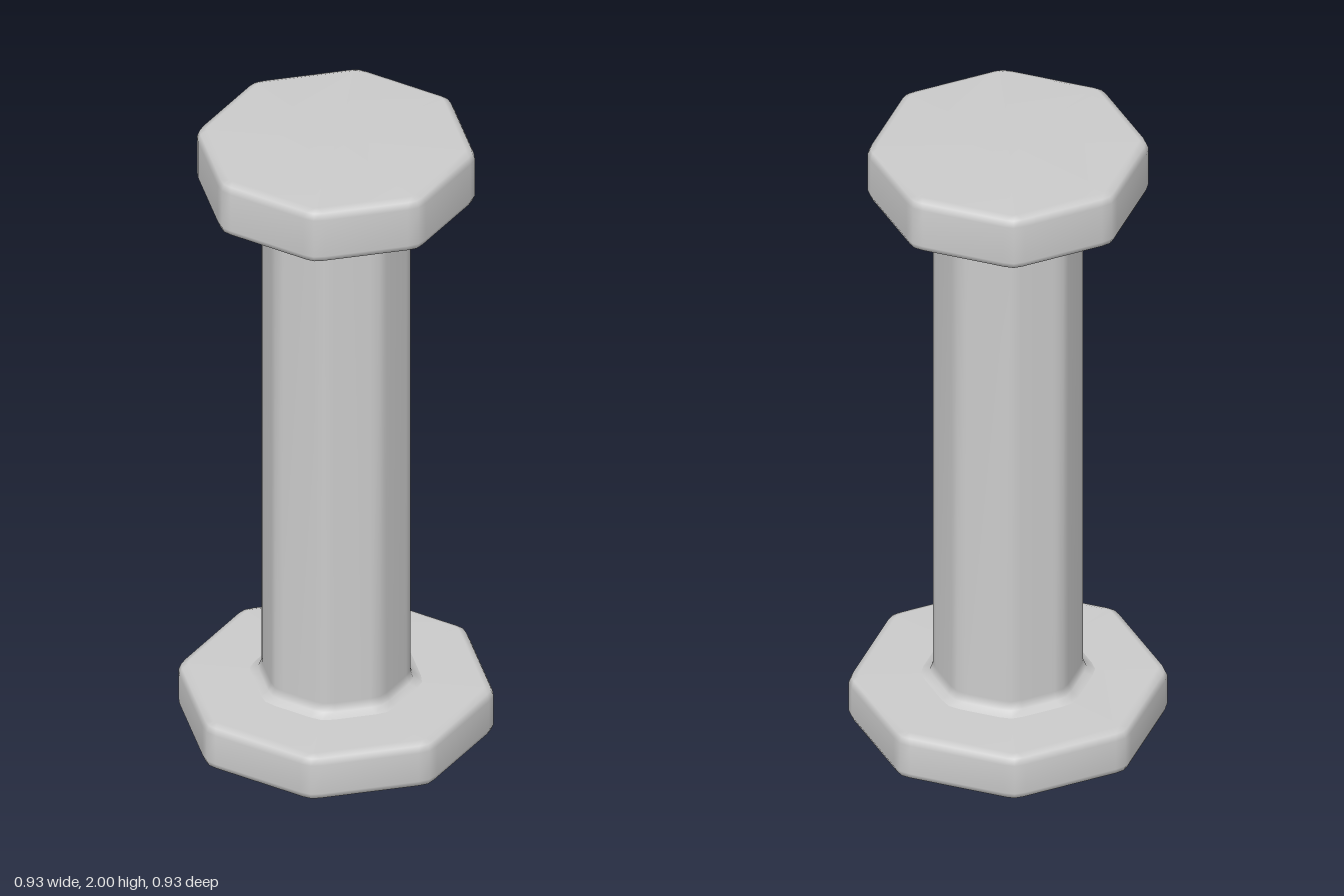
import * as THREE from 'three';

const material = new THREE.MeshStandardMaterial({ color: 0xcccccc, side: THREE.DoubleSide });

// Octagon with rounded corners: three points per corner.
// r = corner radius, c = half-width of the corner rounding.
function octagon(r, y, c) {
  const points = [];
  for (let k = 0; k < 8; k++) {
    const t = (k * Math.PI) / 4;
    for (const s of [-1, 0, 1]) {
      const out = s === 0 ? r : r - 0.254 * c;
      const side = s * c;
      points.push([
        out * Math.sin(t) + side * Math.cos(t),
        y,
        out * Math.cos(t) - side * Math.sin(t),
      ]);
    }
  }
  return points;
}

// Skins a bottom-to-top list of [radius, height, corner] rings.
function loft(name, rings, capped) {
  const n = 24;
  const positions = rings.flatMap((ring) => octagon(...ring)).flat();
  const index = [];
  for (let i = 0; i < rings.length - 1; i++) {
    for (let j = 0; j < n; j++) {
      const a = i * n + j, b = i * n + ((j + 1) % n);
      index.push(a, b, b + n, a, b + n, a + n);
    }
  }
  if (capped) {
    const last = rings.length - 1, bottom = rings.length * n;
    positions.push(0, rings[0][1], 0, 0, rings[last][1], 0);
    for (let j = 0; j < n; j++) {
      const k = (j + 1) % n;
      index.push(bottom, k, j, bottom + 1, last * n + j, last * n + k);
    }
  }
  const geometry = new THREE.BufferGeometry();
  geometry.setAttribute('position', new THREE.Float32BufferAttribute(positions, 3));
  geometry.setIndex(index);
  geometry.computeVertexNormals(); // area weighted: large faces stay nearly flat
  const mesh = new THREE.Mesh(geometry, material);
  mesh.name = name;
  return mesh;
}

// Octagonal slab with softly rounded rims.
function slab(name, r, y0, y1, bevel) {
  const rim = [
    [r - bevel, 0, 0.01],
    [r - bevel * 0.3, bevel * 0.3, 0.025],
    [r, bevel, 0.033],
  ];
  const lower = rim.map(([radius, h, c]) => [radius, y0 + h, c]);
  const upper = rim.map(([radius, h, c]) => [radius, y1 - h, c]).reverse();
  return loft(name, [...lower, ...upper], true);
}

export function createModel() {
  const group = new THREE.Group();
  group.name = 'pedestal';

  group.add(slab('base', 0.467, 0, 0.153, 0.028));
  group.add(slab('topCap', 0.412, 1.82, 2, 0.028));

  // Column with a small fillet flaring into the slabs at each end
  const fillet = [
    [0.255, 0, 0.035],
    [0.23, 0.011, 0.033],
    [0.22, 0.036, 0.03],
  ];
  const foot = fillet.map(([r, h, c]) => [r, 0.153 + h, c]);
  const neck = fillet.map(([r, h, c]) => [r, 1.82 - h, c]).reverse();
  group.add(loft('column', [...foot, ...neck], false));

  return group;
}
